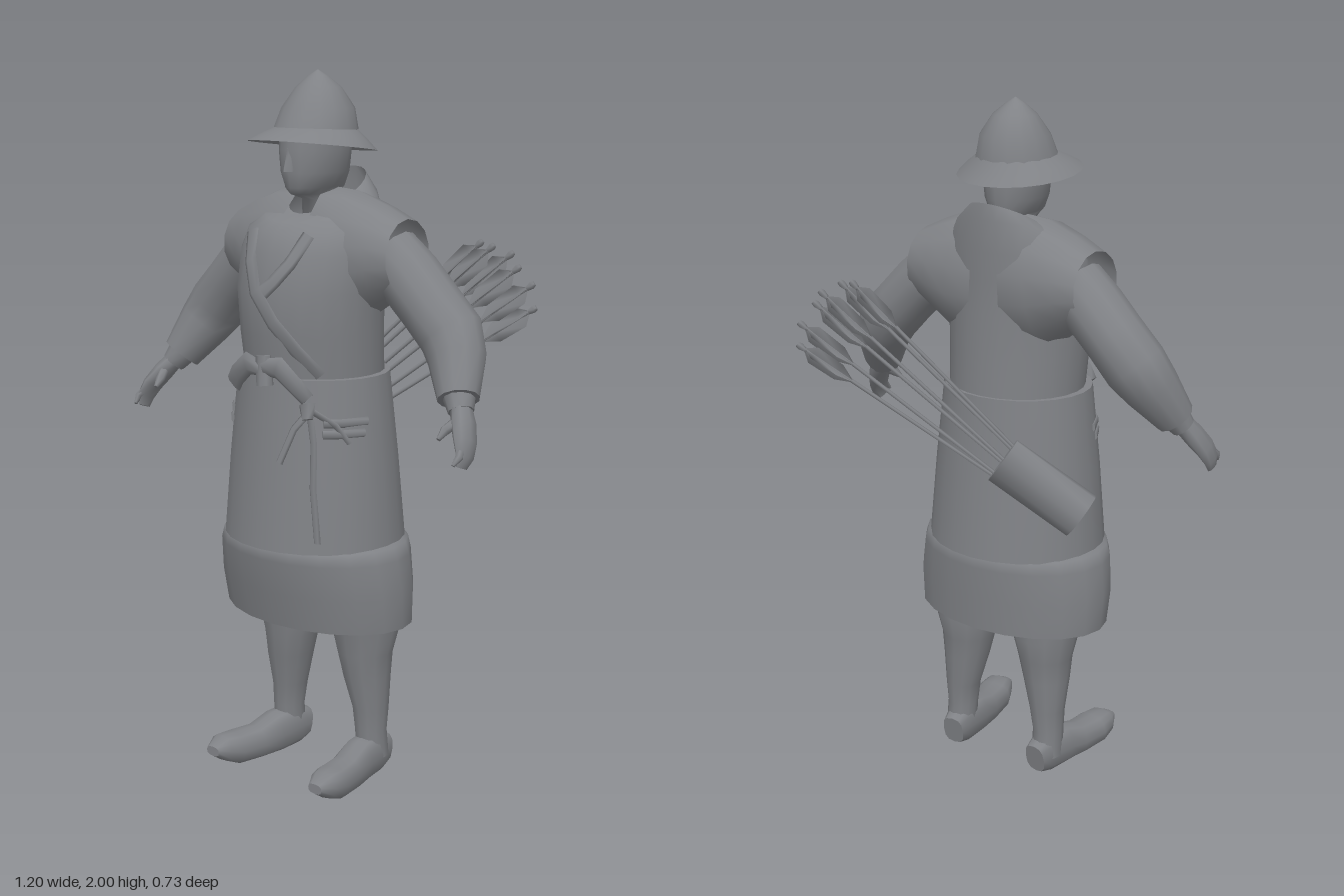
import * as THREE from 'three';

const grey = new THREE.MeshStandardMaterial({ color: 0x808286, side: THREE.DoubleSide });
grey.name = 'stone grey';

// Skin a list of equal rings of points; optional flat caps keep a hard edge
function skin(rings, capStart, capEnd) {
  const pos = [], idx = [], n = rings[0].length;
  rings.forEach(r => r.forEach(p => pos.push(p.x, p.y, p.z)));
  for (let i = 0; i < rings.length - 1; i++) {
    for (let j = 0; j < n; j++) {
      const a = i * n + j, b = i * n + (j + 1) % n;
      idx.push(a, b, b + n, a, b + n, a + n);
    }
  }
  const cap = (ring, flip) => {
    const c = new THREE.Vector3();
    ring.forEach(p => c.addScaledVector(p, 1 / n));
    const base = pos.length / 3;
    [...ring, c].forEach(p => pos.push(p.x, p.y, p.z));
    for (let j = 0; j < n; j++) {
      const k = (j + 1) % n;
      idx.push(base + n, base + (flip ? k : j), base + (flip ? j : k));
    }
  };
  if (capStart) cap(rings[0], true);
  if (capEnd) cap(rings[rings.length - 1], false);
  const g = new THREE.BufferGeometry();
  g.setAttribute('position', new THREE.Float32BufferAttribute(pos, 3));
  g.setIndex(idx);
  g.computeVertexNormals();
  return g;
}

// Upright body: each ring is [y at front, half width, z back, z front, centre x, y at back]
function loft(rows, sides = 20, capStart = false, capEnd = false) {
  return skin(rows.map(([y, rx, zb, zf, cx = 0, yb = y]) =>
    Array.from({ length: sides }, (_, j) => {
      const t = j / sides * Math.PI * 2, c = Math.cos(t);
      return new THREE.Vector3(cx + rx * Math.sin(t), (y + yb) / 2 + (y - yb) / 2 * c,
        (zb + zf) / 2 + (zf - zb) / 2 * c);
    })), capStart, capEnd);
}

// Limb or strap along a path: each point is [x, y, z, half width, half depth]
function tube(pts, { sides = 10, ref = [0, 0, 1], power = 1, caps = true } = {}) {
  const v = pts.map(p => new THREE.Vector3(p[0], p[1], p[2]));
  const up = new THREE.Vector3(...ref);
  const bend = q => Math.sign(q) * Math.abs(q) ** power;
  return skin(v.map((p, i) => {
    const T = v[Math.min(i + 1, v.length - 1)].clone().sub(v[Math.max(i - 1, 0)]).normalize();
    const U = new THREE.Vector3().crossVectors(T, up).normalize();
    const V = new THREE.Vector3().crossVectors(T, U);
    const [, , , ra, rb = ra] = pts[i];
    return Array.from({ length: sides }, (_, j) => {
      const t = j / sides * Math.PI * 2;
      return p.clone().addScaledVector(U, ra * bend(Math.cos(t))).addScaledVector(V, rb * bend(Math.sin(t)));
    });
  }), caps, caps);
}

const TORSO = [
  [1.16, .2, -.06, .31], [1.3, .205, -.055, .33], [1.42, .212, -.05, .335], [1.52, .215, -.05, .31],
  [1.575, .2, -.055, .285, 0, 1.6], [1.6, .155, -.055, .25, 0, 1.69], [1.62, .095, -.05, .19, 0, 1.735],
];
const APRON = [[.715, .268, -.11, .37], [.95, .248, -.09, .352], [1.19, .222, -.068, .33]];

// Depth of the front of a lofted body at x, y
function frontZ(rows, x, y) {
  let i = 0;
  while (i < rows.length - 2 && rows[i + 1][0] < y) i++;
  const a = rows[i], b = rows[i + 1];
  const f = THREE.MathUtils.clamp((y - a[0]) / (b[0] - a[0]), 0, 1);
  const [, rx, zb, zf] = a.map((q, k) => q + (b[k] - q) * f);
  return (zb + zf) / 2 + (zf - zb) / 2 * Math.sqrt(Math.max(0, 1 - (x / rx) ** 2));
}

export function createModel() {
  const model = new THREE.Group();
  model.name = 'archer';
  const add = (name, geometry, parent = model) => {
    const m = new THREE.Mesh(geometry, grey);
    m.name = name;
    parent.add(m);
    return m;
  };
  const moved = (pts, s) => pts.map(([x, ...rest]) => [x * s, ...rest]);

  // Hat
  add('hatBrim', loft([
    [1.82, .176, -.045, .312, 0, 1.778], [1.838, .145, -.02, .27, 0, 1.81], [1.85, .112, 0, .236, 0, 1.84]]));
  add('hatCrown', loft([
    [1.845, .114, -.002, .238, 0, 1.835], [1.9, .098, .006, .212], [1.955, .062, .045, .17],
    [1.985, .026, .085, .135], [2, .002, .108, .112]], 16, false, true));

  // Head and neck
  add('head', loft([
    [1.56, .065, .01, .14], [1.655, .06, .015, .15], [1.672, .045, .025, .212], [1.69, .062, .02, .226],
    [1.73, .08, .012, .232], [1.79, .088, .008, .234], [1.87, .086, .015, .225]], 16));
  add('nose', loft([[1.735, .018, .2, .25], [1.75, .015, .2, .248], [1.795, .006, .2, .236]], 6, true, true));

  // Jacket body
  add('jacket', loft(TORSO, 24));

  // Skirt layers
  add('apron', loft(APRON, 24, false, true));
  add('underSkirt', loft([
    [.48, .305, -.088, .312], [.58, .31, -.095, .335], [.68, .298, -.1, .355], [.715, .285, -.1, .355],
    [.725, .25, -.08, .33]], 20));
  add('skirtLining', loft([[.48, .305, -.088, .312], [.52, .2, 0, .24], [.53, .01, .11, .13]], 20));

  for (const s of [1, -1]) {
    const side = new THREE.Group();
    side.name = s > 0 ? 'leftLimbs' : 'rightLimbs';
    model.add(side);

    // Shoulder cap of the jacket
    add('shoulderCap', tube(moved([
      [.05, 1.5, .09, .19, .14], [.14, 1.505, .088, .178, .14], [.22, 1.515, .082, .135, .125],
      [.285, 1.515, .078, .1, .105]], s), { sides: 14, caps: false }), side);

    // Puffed sleeve, cuff and hand
    add('sleeve', tube(moved([
      [.22, 1.51, .075, .09, .09], [.29, 1.455, .07, .088, .09], [.355, 1.39, .068, .086, .09],
      [.425, 1.318, .066, .09, .086], [.462, 1.26, .09, .08, .078], [.508, 1.168, .145, .058, .055]], s),
      { sides: 12 }), side);
    add('cuff', tube(moved([[.505, 1.178, .14, .045, .045], [.528, 1.14, .16, .034, .036]], s)), side);
    add('hand', tube(moved([
      [.522, 1.155, .155, .027, .03], [.55, 1.115, .18, .026, .04], [.574, 1.075, .205, .02, .042],
      [.586, 1.04, .222, .014, .036], [.584, 1.012, .232, .008, .022]], s), { sides: 8 }), side);
    add('thumb', tube(moved([
      [.54, 1.125, .185, .016], [.522, 1.1, .222, .014], [.518, 1.08, .245, .006]], s), { sides: 6 }), side);
    add('finger', tube(moved([
      [.575, 1.07, .225, .012], [.588, 1.045, .25, .011], [.582, 1.025, .268, .005]], s), { sides: 6 }), side);

    // Leg with breeches gathered below the knee
    add('leg', loft([
      [.05, .046, .012, .11, .16 * s], [.13, .045, .018, .118, .158 * s], [.2, .052, .01, .122, .155 * s],
      [.3, .07, .002, .145, .146 * s], [.37, .082, -.005, .155, .14 * s], [.44, .1, -.02, .167, .14 * s],
      [.56, .11, -.02, .19, .14 * s]], 12), side);

    // Shoe with an upturned toe and a flat sole
    const shoe = tube(moved([
      [.152, .05, .005, .035, .045], [.156, .058, .05, .046, .062], [.163, .052, .13, .05, .062],
      [.174, .04, .2, .05, .05], [.188, .045, .28, .055, .045], [.196, .055, .325, .045, .036],
      [.196, .056, .362, .024, .014]], s), { sides: 12, ref: [0, 1, 0], power: .75 });
    const p = shoe.attributes.position;
    for (let i = 0; i < p.count; i++) p.setY(i, Math.max(0, p.getY(i)));
    shoe.computeVertexNormals();
    add('shoe', shoe, side);

    // Narrow belt pieces at the hips
    for (const y of [1.045, 1.075]) {
      add('hipBelt', tube([.165, .2, .23].map(x => [x * s, y, frontZ(APRON, x, y) + .003, .012, .006]),
        { sides: 6 }), side);
    }
  }

  // Flat straps that follow the front of a body
  const strap = (name, rows, pts, width, lift = .004) =>
    add(name, tube(pts.map(([x, y]) => [x, y, frontZ(rows, x, y) + lift, width, .005]), { sides: 6 }));
  strap('lapelOver', TORSO, [[-.1, 1.575], [-.07, 1.5], [-.03, 1.42], [.03, 1.34], [.09, 1.27], [.14, 1.2]], .022);
  strap('lapelUnder', TORSO, [[.1, 1.575], [.07, 1.5], [.03, 1.45], [.0, 1.42]], .02);

  // Sash knot, bow and hanging tails
  add('bowRight', tube([
    [.0, 1.215, .345, .02, .016], [-.05, 1.225, .345, .032, .016], [-.1, 1.185, .335, .03, .012],
    [-.125, 1.155, .325, .028, .006]], { sides: 6 }));
  add('bowLeft', tube([
    [.0, 1.22, .345, .022, .016], [.06, 1.225, .345, .032, .016], [.11, 1.18, .335, .028, .012],
    [.14, 1.145, .32, .025, .006]], { sides: 6 }));
  add('bowKnot', tube([[0, 1.25, .34, .024, .018], [.01, 1.17, .345, .026, .02]], { sides: 8 }));
  add('cordKnot', tube([[.13, 1.13, .31, .03, .012], [.14, 1.09, .32, .02, .012]], { sides: 6 }));
  strap('longCord', APRON, [[.135, 1.11], [.15, 1.02], [.155, .9], [.172, .75]], .012, .008);
  strap('shortCord', APRON, [[.135, 1.11], [.1, 1.06], [.065, .965]], .011, .008);
  strap('sideCord', APRON, [[.14, 1.11], [.19, 1.07], [.215, 1.02]], .01, .008);

  // Quiver slung across the back
  add('quiver', tube([[-.1, 1.03, -.095, .08, .048], [-.305, .88, -.005, .075, .06]], { sides: 10 }));

  // Arrows fan out of the quiver
  const arrows = new THREE.Group();
  arrows.name = 'arrows';
  model.add(arrows);
  for (let i = 0; i < 6; i++) {
    const t = i / 5, d = (i % 2 ? 1 : -1) * .012;
    const a = new THREE.Vector3(-.135 + .075 * t, 1.075 - .1 * t, -.08 - .02 * t + d);
    const b = new THREE.Vector3(.28 + .24 * t * (1 - .42 * t), 1.525 - .185 * t * t, -.265 - .095 * t + d);
    const at = (f, w, h = w) => [...a.clone().lerp(b, f).toArray(), w, h];
    add('shaft', tube([at(-.15, .006), at(1, .006)], { sides: 5 }), arrows);
    add('nock', tube([at(.96, .007), at(.985, .011), at(1, .008)], { sides: 5 }), arrows);
    for (const ref of [[0, 0, 1], [0, 1, 0]]) {
      add('fletching', tube([at(.72, .004, .002), at(.79, .03, .002), at(.92, .032, .002), at(.96, .006, .002)],
        { sides: 4, ref }), arrows);
    }
  }
  return model;
}
